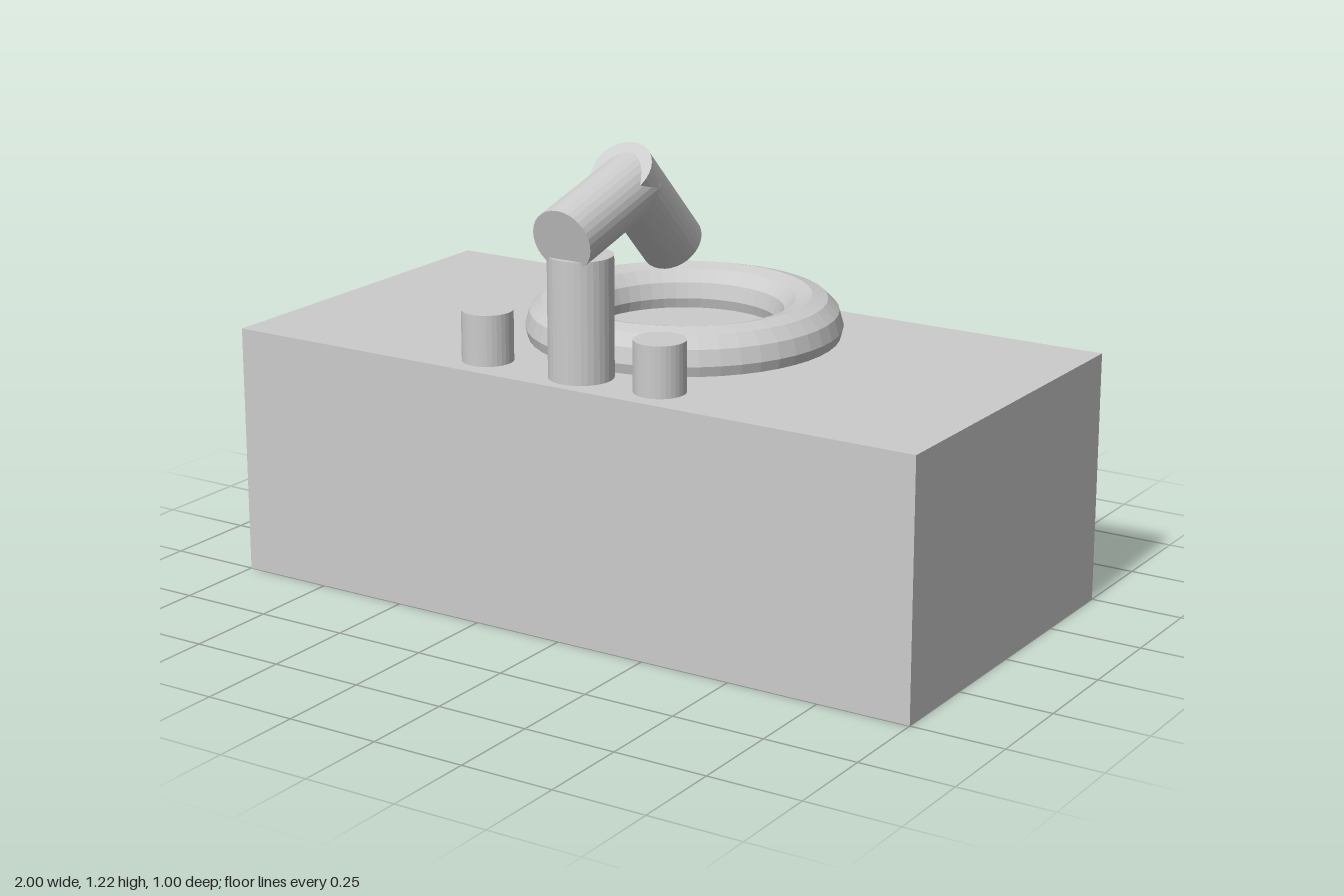
import * as THREE from 'three';

const material = new THREE.MeshStandardMaterial({ color: 0xcccccc, flatShading: true });

export function createModel() {
  const model = new THREE.Group();
  model.name = 'sink';

  const add = (name, geometry, x, y, z) => {
    const mesh = new THREE.Mesh(geometry, material);
    mesh.name = name;
    mesh.position.set(x, y, z);
    model.add(mesh);
    return mesh;
  };

  // Upright or tilted cylinder; tilt leans its axis around x
  const pipe = (name, radius, length, x, y, z, tilt = 0) => {
    const mesh = add(name, new THREE.CylinderGeometry(radius, radius, length, 32), x, y, z);
    mesh.rotation.x = tilt;
    return mesh;
  };

  // Cabinet block
  add('cabinet', new THREE.BoxGeometry(2, 0.667, 1), 0, 0.3335, 0);

  // Basin rim, partly sunk into the counter
  const rim = add('basinRim', new THREE.TorusGeometry(0.332, 0.083, 12, 48), 0, 0.694, -0.09);
  rim.rotation.x = Math.PI / 2;

  // Faucet: post, rising arm and downturned spout
  const deg = Math.PI / 180;
  pipe('faucetPost', 0.083, 0.333, 0, 0.8135, 0.388);
  pipe('faucetArm', 0.083, 0.33, 0, 1.072, 0.309, -75 * deg);
  pipe('faucetSpout', 0.083, 0.33, 0, 1.042, 0.089, 45 * deg);

  // Tap handles on both sides of the post
  for (const [name, side] of [['leftHandle', 1], ['rightHandle', -1]]) {
    pipe(name, 0.066, 0.132, side * 0.257, 0.746, 0.427);
  }

  return model;
}
